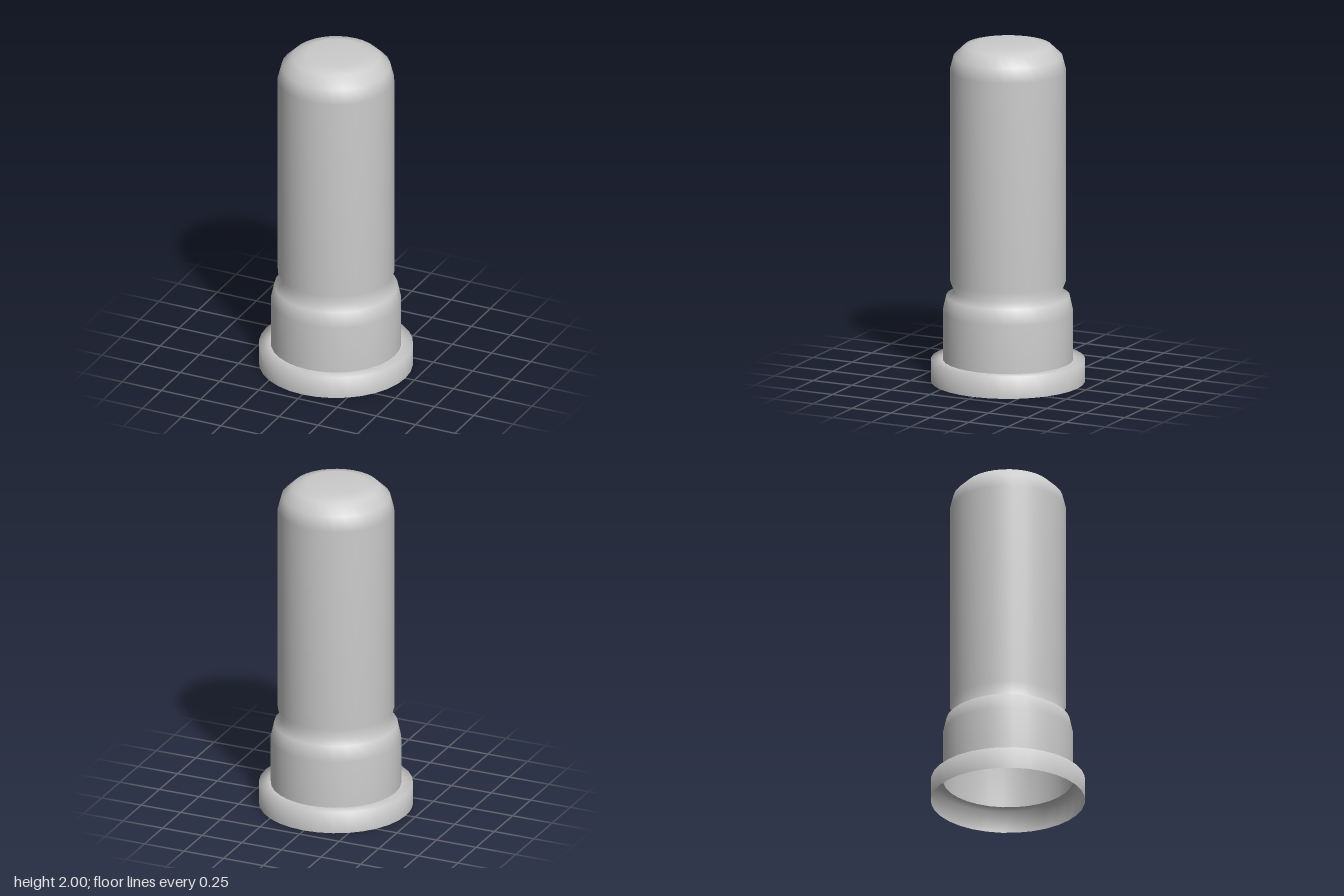
import * as THREE from 'three';

const SEGMENTS = 32;

// Open shell turned around the y axis from [radius, height] pairs
function turned(name, profile) {
  const points = profile.map(([r, y]) => new THREE.Vector2(r, y));
  const material = new THREE.MeshStandardMaterial({ color: 0xcccccc, side: THREE.DoubleSide });
  const mesh = new THREE.Mesh(new THREE.LatheGeometry(points, SEGMENTS), material);
  mesh.name = name;
  return mesh;
}

export function createModel() {
  const group = new THREE.Group();
  group.name = 'capsule';

  // Wide foot ring, open underneath
  group.add(turned('baseCollar', [[0.443, 0], [0.443, 0.13], [0.375, 0.13]]));

  // Sleeve, pinched neck, tall tube and rounded cap in one hollow shell
  group.add(turned('body', [
    [0.375, 0.13], [0.375, 0.415], [0.355, 0.505], [0.31, 0.535],
    [0.335, 0.6], [0.335, 1.835], [0.313, 1.92], [0.25, 1.98], [0.17, 2], [0, 2],
  ]));

  return group;
}
